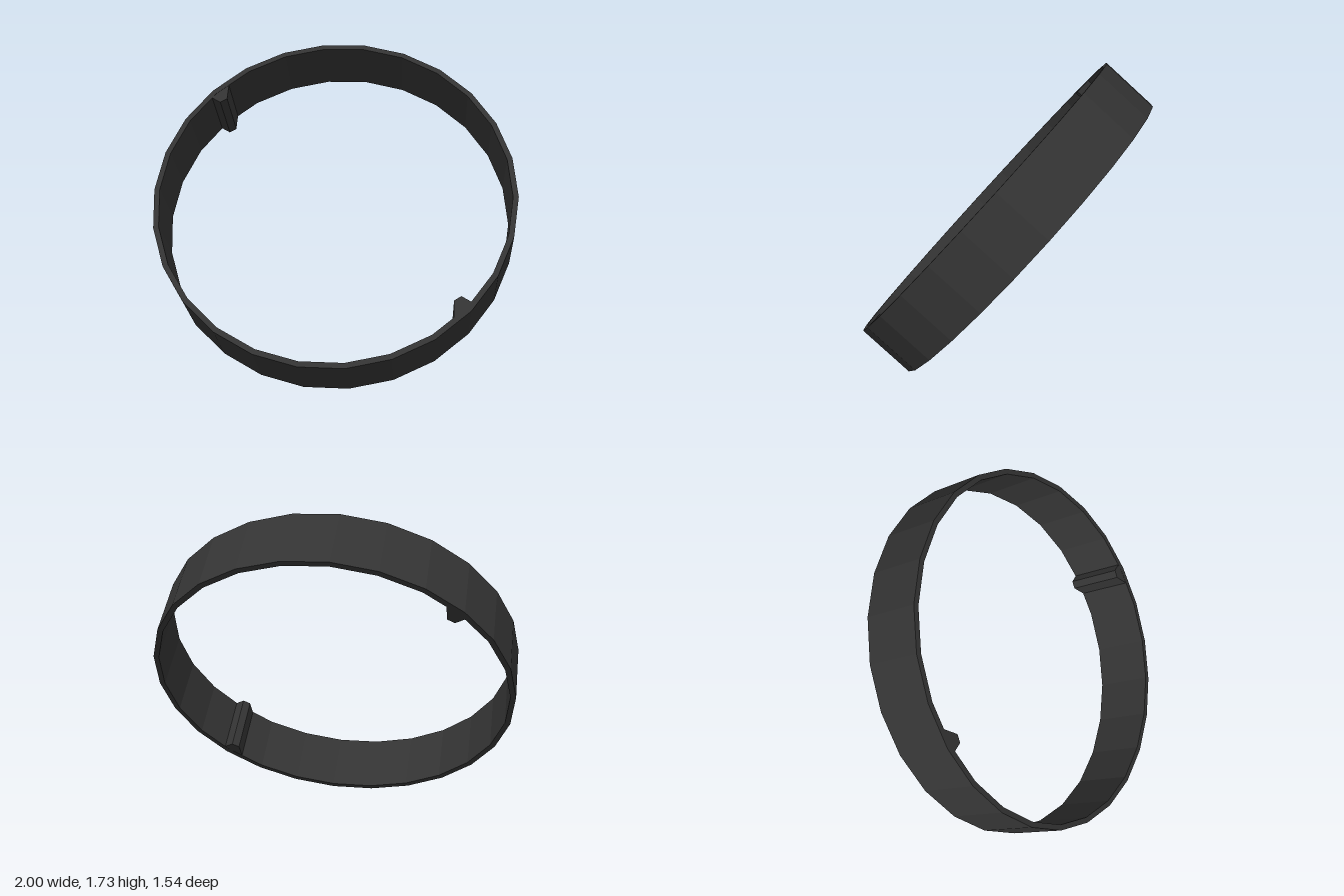
import * as THREE from 'three';

const SEGMENTS = 26;
const OUTER = 1.0;
const INNER = 0.97;
const WIDTH = 0.334;
const TILT = -0.705;

// Regular polygon with a flat edge at the bottom and corners at both sides
function polygon(radius) {
  return Array.from({ length: SEGMENTS }, (_, i) => {
    const a = -Math.PI / 2 + ((i + 0.5) / SEGMENTS) * Math.PI * 2;
    return new THREE.Vector2(radius * Math.cos(a), radius * Math.sin(a));
  });
}

// Prism along the ring axis, centred on the ring plane
function prism(shape, depth) {
  const geometry = new THREE.ExtrudeGeometry(shape, { depth, bevelEnabled: false });
  return geometry.translate(0, 0, -depth / 2);
}

export function createModel() {
  const model = new THREE.Group();
  const material = new THREE.MeshStandardMaterial({ color: 0x333333, flatShading: true });

  const ring = new THREE.Group();
  ring.name = 'tiltedRing';
  ring.rotation.x = TILT;
  ring.position.y = 0.866;
  model.add(ring);

  // Thin faceted band
  const bandShape = new THREE.Shape(polygon(OUTER));
  bandShape.holes.push(new THREE.Path(polygon(INNER)));
  const band = new THREE.Mesh(prism(bandShape, WIDTH), material);
  band.name = 'band';
  ring.add(band);

  // Two opposite flared ribs across the inner wall
  const ribShape = new THREE.Shape([
    new THREE.Vector2(0.66, -0.608),
    new THREE.Vector2(0.66, -0.71),
    new THREE.Vector2(0.762, -0.62),
    new THREE.Vector2(0.697, -0.583),
  ]);
  const ribGeometry = prism(ribShape, WIDTH - 0.002);
  ['lowerRib', 'upperRib'].forEach((name, i) => {
    const rib = new THREE.Mesh(ribGeometry, material);
    rib.name = name;
    rib.rotation.z = i * Math.PI;
    ring.add(rib);
  });

  return model;
}
